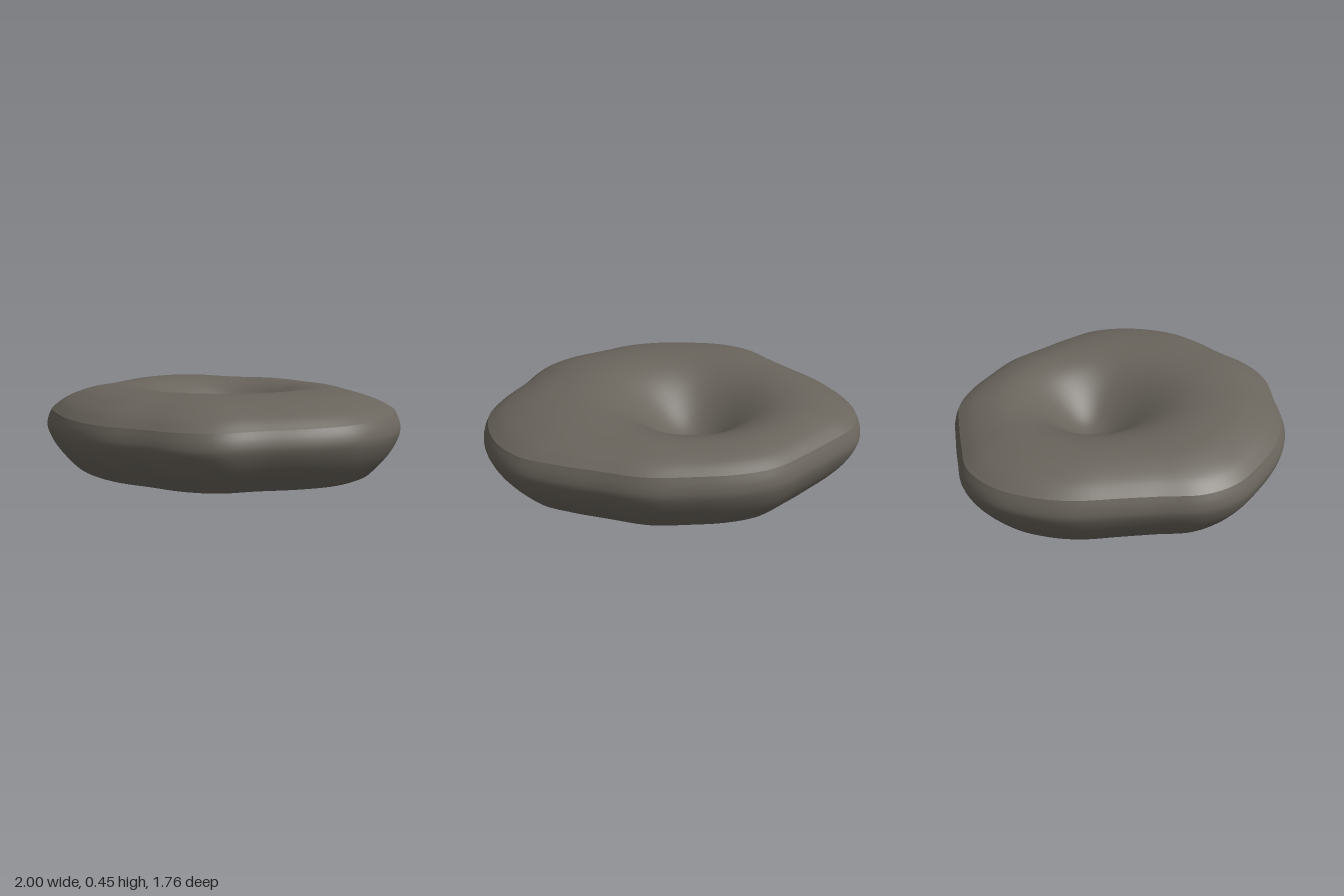
import * as THREE from 'three';

const SEGMENTS = 120;

// Wavy outline at the widest height, as x, z, counter-clockwise seen from above
const outline = new THREE.CatmullRomCurve3([
  [0.995, -0.12], [0.94, -0.4], [0.8, -0.6], [0.62, -0.7], [0.42, -0.78],
  [0.19, -0.865], [-0.02, -0.88], [-0.235, -0.878], [-0.42, -0.835], [-0.59, -0.72],
  [-0.77, -0.58], [-0.92, -0.445], [-0.995, -0.25], [-0.985, -0.05], [-0.93, 0.13],
  [-0.82, 0.32], [-0.715, 0.5], [-0.62, 0.67], [-0.475, 0.785], [-0.26, 0.845],
  [-0.02, 0.87], [0.22, 0.835], [0.43, 0.735], [0.62, 0.64], [0.755, 0.51],
  [0.835, 0.32], [0.94, 0.1],
].map(([x, z]) => new THREE.Vector3(x, 0, z)), true).getPoints(SEGMENTS).slice(0, SEGMENTS);

// Off-centre hollow: steep towards the back, gentler towards the front
function hollow(x, z) {
  const dx = (x + 0.1) / 0.22;
  const dz = (z + 0.17) / (z < -0.17 ? 0.2 : 0.24);
  return 0.28 * Math.exp(-(dx * dx + dz * dz) / 2);
}

const tilt = (z) => -0.02 * z;

// Skin over scaled copies of the outline; profile lists [scale, height]
function skin(name, profile, steps, material, lift) {
  const curve = new THREE.SplineCurve(profile.map(([s, y]) => new THREE.Vector2(s, y)));
  const positions = [];
  const indices = [];
  curve.getPoints(steps).forEach(({ x: s, y }) => {
    for (const p of outline) {
      const x = p.x * s, z = p.z * s;
      positions.push(x, y + lift(x, z, y), z);
    }
  });
  for (let i = 0; i < steps; i++) {
    for (let j = 0; j < SEGMENTS; j++) {
      const k = (j + 1) % SEGMENTS;
      const a = i * SEGMENTS + j, b = i * SEGMENTS + k;
      indices.push(a, b, b + SEGMENTS, a, b + SEGMENTS, a + SEGMENTS);
    }
  }
  const geometry = new THREE.BufferGeometry();
  geometry.setAttribute('position', new THREE.Float32BufferAttribute(positions, 3));
  geometry.setIndex(indices);
  geometry.computeVertexNormals();
  const mesh = new THREE.Mesh(geometry, material);
  mesh.name = name;
  return mesh;
}

export function createModel() {
  const group = new THREE.Group();
  group.name = 'hollowedStone';
  const stone = new THREE.MeshStandardMaterial({ color: 0x69645c });
  stone.name = 'warm grey stone';

  // Shallow, nearly flat base with a hard lower edge
  group.add(skin('base', [[0.001, 0], [0.3, 0], [0.55, 0.003], [0.75, 0.02], [0.865, 0.035]],
    16, stone, () => 0));

  // Bulging side wall, its top edge slightly higher at the back
  group.add(skin('sideWall', [[0.865, 0.035], [0.92, 0.095], [0.97, 0.165], [1, 0.24], [0.995, 0.29], [0.972, 0.34]],
    24, stone, (x, z, y) => tilt(z) * Math.max(0, (y - 0.035) / 0.305)));

  // Domed top sinking into the hollow
  group.add(skin('top', [[0.972, 0.34], [0.9, 0.383], [0.8, 0.417], [0.7, 0.438], [0.55, 0.452],
    [0.4, 0.455], [0.25, 0.452], [0.12, 0.45], [0.001, 0.45]],
    56, stone, (x, z, y) => tilt(z) * Math.max(0, 1 - (y - 0.34) / 0.11) - hollow(x, z)));

  return group;
}
